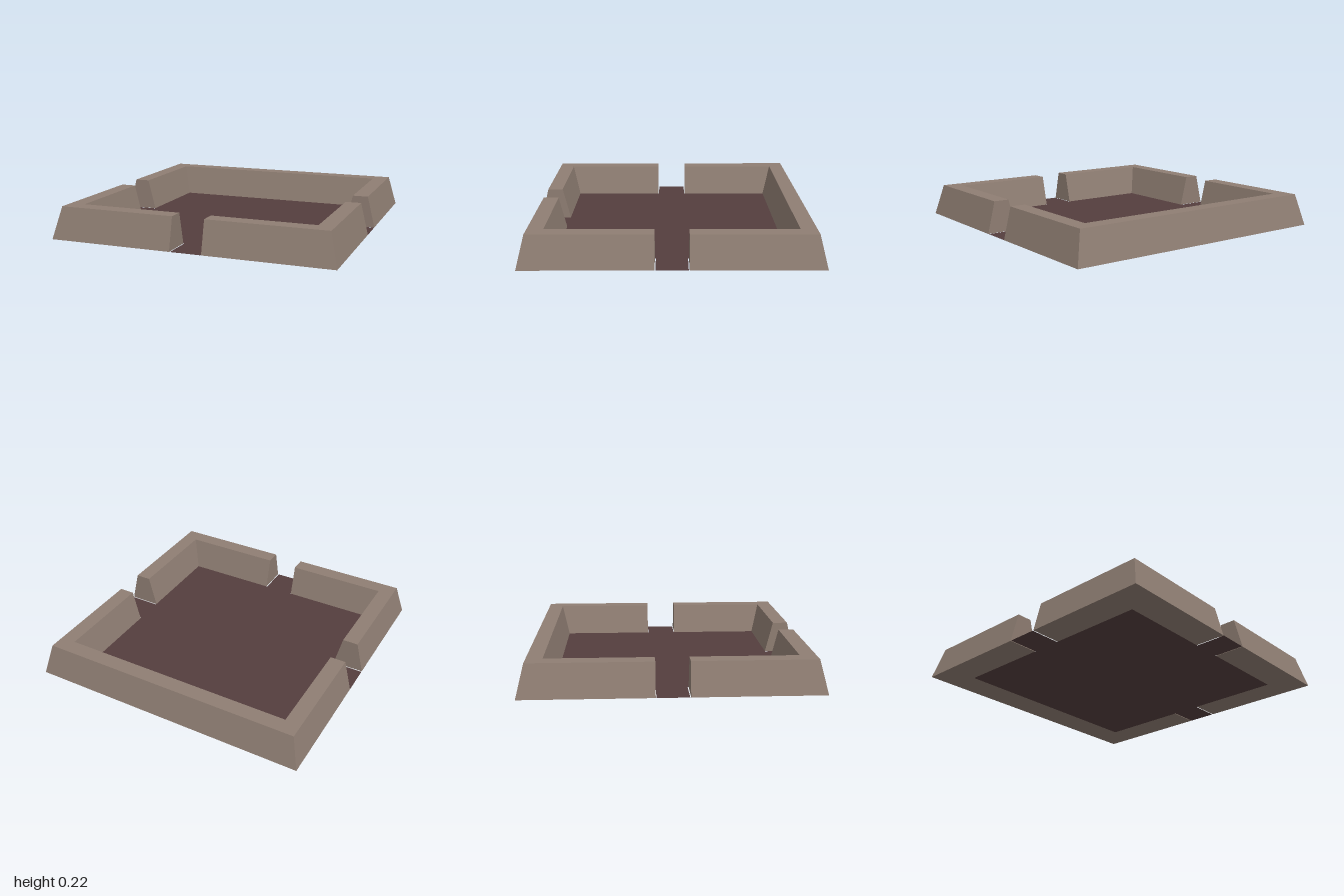
import * as THREE from 'three';

const GAP = 0.113; // half width of each gateway
const PATH = 0.107; // half width of the floor strip in a gateway
const INNER = 0.78; // inner edge of the walls at the ground

// Wall cross-section: [distance from centre, height]
const PROFILE = [[1, 0], [0.945, 0.225], [0.835, 0.225], [INNER, 0]];

// Stations of a wall run: mitred corners, and flat ends at the gateways
const corner = (sx, sz) => (r) => [sx * r, sz * r];
const endOnSide = (sx, sz) => (r) => [sx * r, sz * GAP];
const endOnFront = (sx) => (r) => [sx * GAP, r];

// Sweeps the cross-section through the stations, counterclockwise from above
function wallGeometry(stations) {
  const rings = stations.map((at) => PROFILE.map(([r, y]) => {
    const [x, z] = at(r);
    return [x, y, z];
  }));
  const pos = [];
  const quad = (a, b, c, d) => pos.push(...a, ...b, ...c, ...a, ...c, ...d);
  for (let i = 0; i < rings.length - 1; i++) {
    for (let j = 0; j < 4; j++) {
      const k = (j + 1) % 4;
      quad(rings[i][j], rings[i + 1][j], rings[i + 1][k], rings[i][k]);
    }
  }
  quad(...rings[0]);
  quad(...rings[rings.length - 1].slice().reverse());
  const geometry = new THREE.BufferGeometry();
  geometry.setAttribute('position', new THREE.Float32BufferAttribute(pos, 3));
  geometry.computeVertexNormals();
  return geometry;
}

export function createModel() {
  const model = new THREE.Group();
  model.name = 'walledCourtyard';

  const stone = new THREE.MeshStandardMaterial({ color: 0x8f7e73, flatShading: true });
  stone.name = 'wall stone';
  const ground = new THREE.MeshStandardMaterial({ color: 0x543e3e, side: THREE.DoubleSide });
  ground.name = 'floor brown';

  const add = (name, geometry, material) => {
    const mesh = new THREE.Mesh(geometry, material);
    mesh.name = name;
    model.add(mesh);
  };

  // Sloped walls, open at the left, right and front
  add('backWall', wallGeometry([endOnSide(1, -1), corner(1, -1), corner(-1, -1), endOnSide(-1, -1)]), stone);
  add('frontRightWall', wallGeometry([endOnSide(-1, 1), corner(-1, 1), endOnFront(-1)]), stone);
  add('frontLeftWall', wallGeometry([endOnFront(1), corner(1, 1), endOnSide(1, 1)]), stone);

  // Flat floor with a strip through each gateway (shape y becomes -z)
  const outline = [
    [-INNER, INNER], [-INNER, PATH], [-1, PATH], [-1, -PATH], [-INNER, -PATH], [-INNER, -INNER],
    [-PATH, -INNER], [-PATH, -1], [PATH, -1], [PATH, -INNER],
    [INNER, -INNER], [INNER, -PATH], [1, -PATH], [1, PATH], [INNER, PATH], [INNER, INNER],
  ].map(([x, y]) => new THREE.Vector2(x, y));
  add('floor', new THREE.ShapeGeometry(new THREE.Shape(outline)).rotateX(-Math.PI / 2), ground);

  return model;
}
